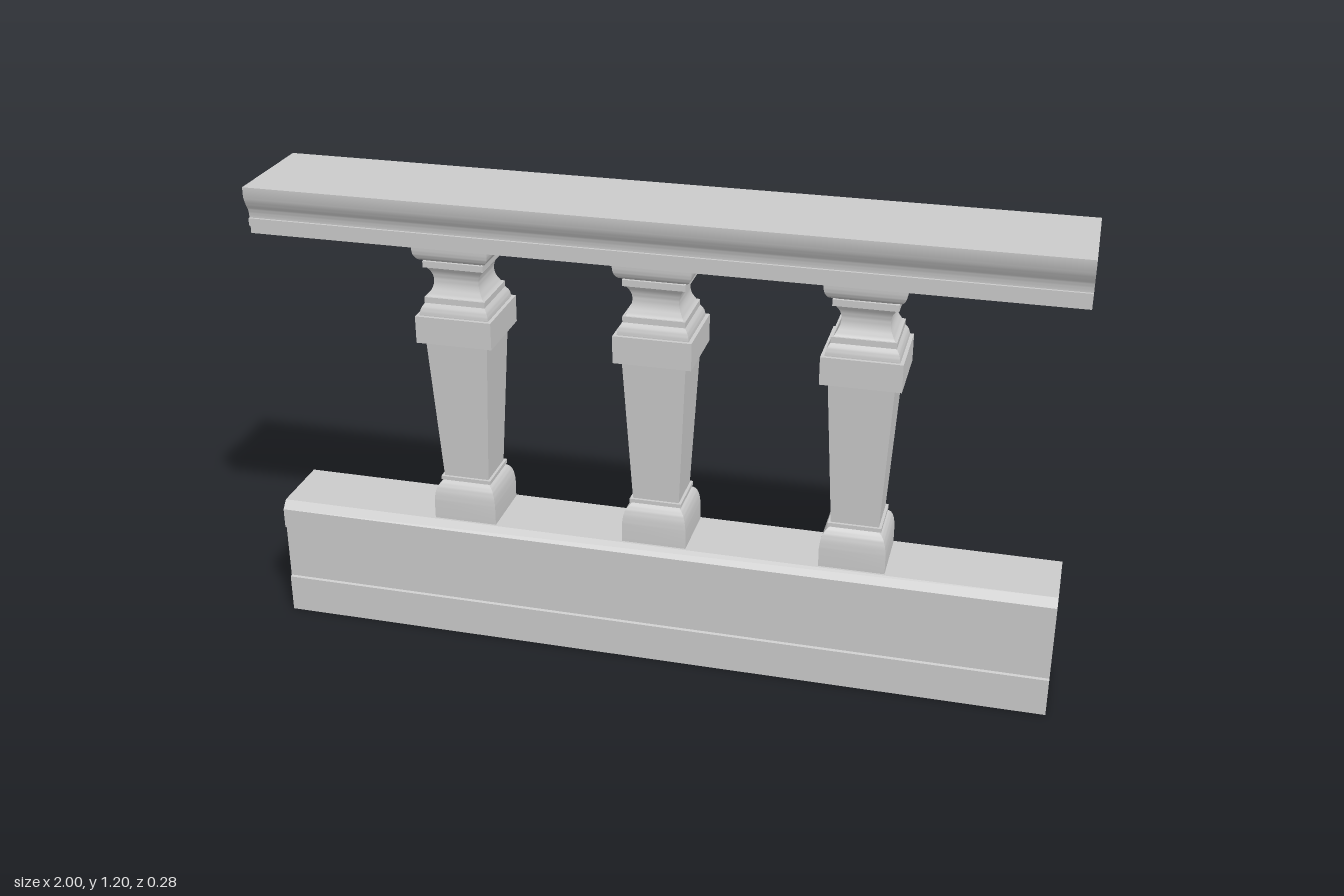
import * as THREE from 'three';
import { toCreasedNormals } from 'three/addons/utils/BufferGeometryUtils.js';

const material = new THREE.MeshStandardMaterial({ color: 0xcccccc });
const CREASE = 0.5;

// Smooth moulding through a few [halfWidth, y] points
function curve(points, steps = 10) {
  return new THREE.SplineCurve(points.map(([w, y]) => new THREE.Vector2(w, y)))
    .getPoints(steps).map((p) => [p.x, p.y]);
}

// Mirrored half profile [halfDepth, y], bottom to top, run along x
function beam(name, half, length) {
  const outline = [...half, ...half.map(([w, y]) => [-w, y]).reverse()];
  const shape = new THREE.Shape(outline.map(([w, y]) => new THREE.Vector2(w, y)));
  const geometry = new THREE.ExtrudeGeometry(shape, { depth: length, bevelEnabled: false });
  geometry.translate(0, 0, -length / 2).rotateY(Math.PI / 2);
  const mesh = new THREE.Mesh(toCreasedNormals(geometry, CREASE), material);
  mesh.name = name;
  return mesh;
}

// Square tower whose half width follows a [halfWidth, y] profile
function squareLathe(profile) {
  const points = profile.map(([w, y]) => new THREE.Vector2(w * Math.SQRT2, y));
  return toCreasedNormals(new THREE.LatheGeometry(points, 4, Math.PI / 4), CREASE);
}

export function createModel() {
  const group = new THREE.Group();
  group.name = 'balustrade';

  // Plinth with raised bands and chamfered top
  group.add(beam('plinth', [
    [0.107, 0], [0.107, 0.1], [0.1, 0.102], [0.1, 0.25],
    [0.107, 0.252], [0.107, 0.305], [0.088, 0.325],
  ], 2));

  // Moulded handrail
  group.add(beam('handrail', [
    [0.12, 1.077], [0.12, 1.098], [0.127, 1.098], [0.127, 1.117], [0.121, 1.117],
    ...curve([[0.121, 1.125], [0.125, 1.14], [0.135, 1.157], [0.142, 1.175]]),
    [0.142, 1.2],
  ], 2));

  // Balusters: foot, tapered shaft, collar block, waisted neck, flared capital
  const baluster = squareLathe([
    [0.082, 0.325],
    ...curve([[0.082, 0.375], [0.079, 0.398], [0.072, 0.417], [0.06, 0.428]]),
    [0.066, 0.43], [0.066, 0.44], [0.059, 0.44],
    [0.079, 0.82], [0.097, 0.82], [0.097, 0.89], [0.088, 0.89],
    ...curve([[0.088, 0.893], [0.085, 0.907], [0.077, 0.92]], 6),
    [0.077, 0.935], [0.072, 0.935],
    ...curve([[0.07, 0.937], [0.06, 0.957], [0.057, 0.977], [0.061, 0.995], [0.071, 1.012]], 12),
    [0.077, 1.012], [0.077, 1.028], [0.07, 1.028],
    ...curve([[0.072, 1.03], [0.086, 1.036], [0.094, 1.05], [0.096, 1.065]]),
    [0.096, 1.078],
  ]);
  for (const x of [-0.5, 0, 0.5]) {
    const mesh = new THREE.Mesh(baluster, material);
    mesh.name = 'baluster';
    mesh.position.x = x;
    group.add(mesh);
  }
  return group;
}
